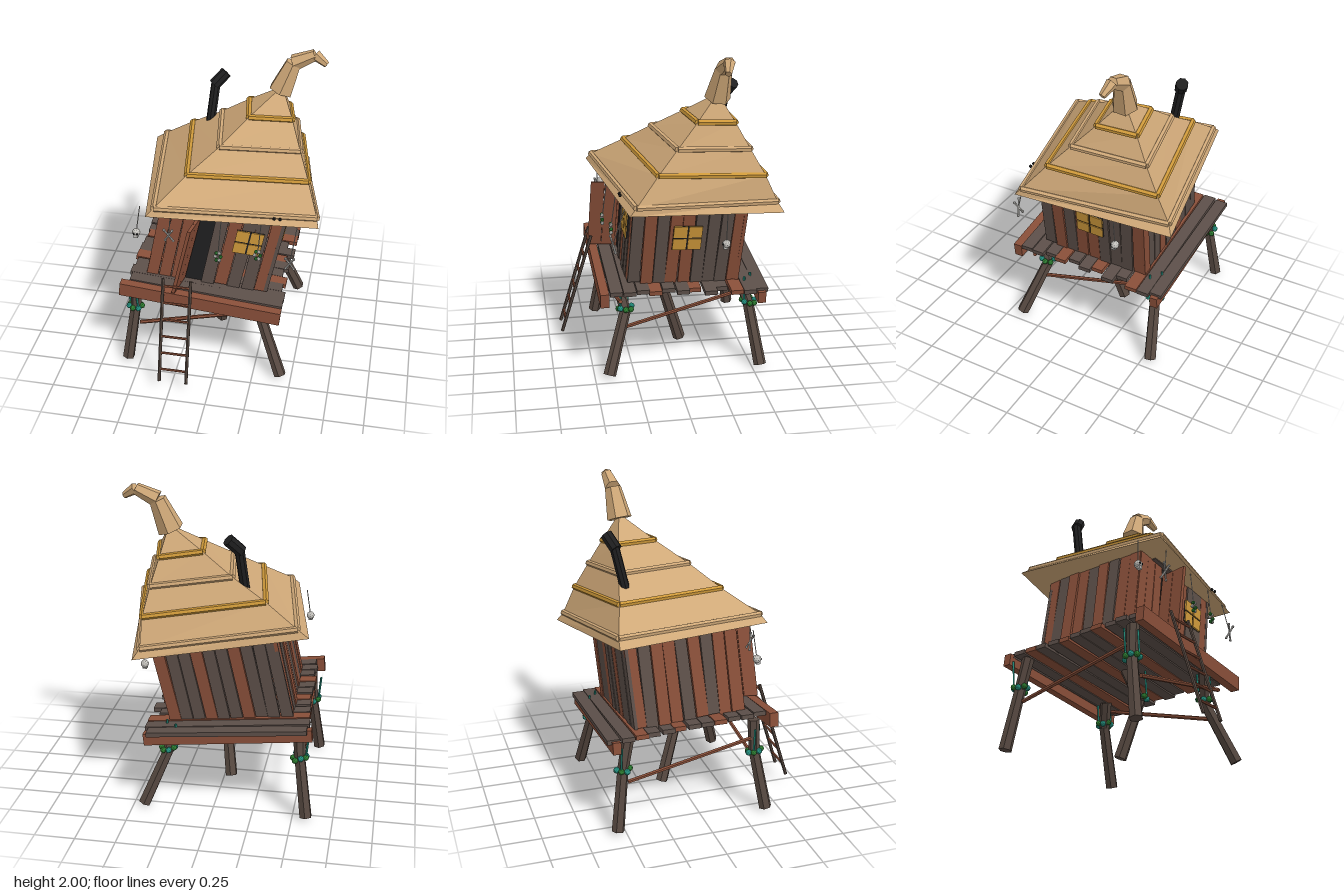
import * as THREE from 'three';

const V = (p) => new THREE.Vector3(...p);

export function createModel() {
  const root = new THREE.Group();
  root.name = 'stiltHut';
  const mat = (name, color) => {
    const m = new THREE.MeshStandardMaterial({ color });
    m.name = name;
    return m;
  };
  const straw = mat('straw', 0xcfa878), gold = mat('gold', 0xcd983a), brick = mat('redWood', 0x894f39);
  const dark = mat('darkWood', 0x5c4f49), leg = mat('legWood', 0x574941), black = mat('soot', 0x1f1f20);
  const teal = mat('tealCord', 0x23907f), green = mat('greenBead', 0x2c7a30), bone = mat('bone', 0xc4c2bd);

  let seed = 7;
  const rnd = () => (seed = (seed * 16807) % 2147483647) / 2147483647;
  const jit = (a) => (rnd() * 2 - 1) * a;

  // Faceted mesh, added to a parent
  const add = (name, geo, m, parent) => {
    const g = geo.index ? geo.toNonIndexed() : geo;
    g.computeVertexNormals();
    const mesh = new THREE.Mesh(g, m);
    mesh.name = name;
    parent.add(mesh);
    return mesh;
  };
  const group = (name) => {
    const g = new THREE.Group();
    g.name = name;
    root.add(g);
    return g;
  };
  // Round pole from a to b
  const pole = (name, a, b, r0, r1, m, parent, sides = 6) => {
    const A = V(a), B = V(b), d = B.clone().sub(A);
    const p = add(name, new THREE.CylinderGeometry(r1, r0, d.length(), sides), m, parent);
    p.quaternion.setFromUnitVectors(V([0, 1, 0]), d.normalize());
    p.position.copy(A).lerp(B, 0.5);
  };
  // Square beam from a to b
  const beam = (name, a, b, w, h, m, parent) => {
    const A = V(a), B = V(b);
    const p = add(name, new THREE.BoxGeometry(w, h, A.distanceTo(B)), m, parent);
    p.position.copy(A).lerp(B, 0.5);
    p.lookAt(B);
  };
  const ball = (name, p, r, m, parent) => {
    add(name, new THREE.IcosahedronGeometry(r, 1), m, parent).position.set(...p);
  };

  // Roof: leaning square rings from eave to apex (back left, back right, front right, front left)
  const rings = [
    [[-0.57, 1.18, -0.51], [0.45, 1.04, -0.67], [0.615, 1.12, 0.295], [-0.41, 1.19, 0.46]],
    [[-0.5, 1.23, -0.5], [0.41, 1.10, -0.635], [0.6, 1.165, 0.255], [-0.365, 1.235, 0.43]],
    [[-0.305, 1.365, -0.44], [0.41, 1.27, -0.555], [0.525, 1.33, 0.115], [-0.2, 1.37, 0.235]],
    [[-0.1, 1.49, -0.39], [0.38, 1.43, -0.465], [0.455, 1.465, -0.01], [-0.03, 1.495, 0.08]],
    [[0.085, 1.62, -0.34], [0.34, 1.585, -0.38], [0.385, 1.605, -0.14], [0.12, 1.62, -0.095]],
    Array(4).fill([0.3, 1.76, -0.275]),
  ];
  const tri = [];
  for (let i = 0; i < 5; i++) for (let k = 0; k < 4; k++) {
    const n = (k + 1) % 4, lo = rings[i], hi = rings[i + 1];
    tri.push(lo[n], lo[k], hi[k]);
    if (i < 4) tri.push(lo[n], hi[k], hi[n]);
  }
  const e = rings[0];
  tri.push(e[0], e[1], e[2], e[0], e[2], e[3]);
  const roofGeo = new THREE.BufferGeometry();
  roofGeo.setAttribute('position', new THREE.Float32BufferAttribute(tri.flat(), 3));
  const roof = group('roof');
  add('thatch', roofGeo, straw, roof);
  for (let i = 1; i < 5; i++) for (let k = 0; k < 4; k++)
    pole('roofBand', rings[i][k], rings[i][(k + 1) % 4], 0.019, 0.019, i % 2 ? straw : gold, roof);

  // Curled straw tip
  const curl = [[0.29, 1.73, -0.275, 0.08], [0.362, 1.915, -0.295, 0.052], [0.49, 1.975, -0.3, 0.036], [0.565, 1.925, -0.28, 0.02]];
  for (let i = 0; i < 3; i++)
    pole('roofTip', curl[i].slice(0, 3), curl[i + 1].slice(0, 3), curl[i][3], curl[i + 1][3], straw, roof);

  // Bent chimney
  pole('chimneyPipe', [-0.185, 1.3, -0.345], [-0.145, 1.68, -0.425], 0.03, 0.03, black, roof, 8);
  pole('chimneyTop', [-0.155, 1.66, -0.415], [-0.085, 1.735, -0.455], 0.038, 0.038, black, roof, 8);

  // Leaning house: unit box sheared into place
  const house = group('house');
  const lean = new THREE.Matrix4().makeBasis(V([0.77, -0.077, -0.02]), V([0.12, 0.585, -0.035]), V([0.02, 0.036, 0.71]));
  lean.setPosition(-0.085, 0.603, -0.063);
  // side: 0 front, 1 right, 2 back, 3 left; s along the wall, v up, out from the wall
  const panel = (name, side, s, v, w, h, t, out, m, tilt = 0) => {
    const g = new THREE.BoxGeometry(w, h, t).rotateZ(tilt).translate(s, v, 0.5 + out);
    g.rotateY(side * Math.PI / 2).applyMatrix4(lean);
    add(name, g, m, house);
  };
  const wall = (side, from, to, colors) => {
    const w = (to - from) / colors.length;
    [...colors].forEach((c, i) => {
      const low = jit(0.025) - 0.01;
      panel('wallPlank', side, from + (i + 0.5) * w, (1 + low) / 2, w * 0.94, 1 - low, 0.03,
        -0.015 + jit(0.007), c === 'b' ? brick : dark, jit(0.012));
    });
  };
  wall(0, -0.5, -0.2, 'bbb');
  wall(0, -0.05, 0.5, 'dbddb');
  wall(1, -0.5, 0.5, 'dbdbbdddb');
  wall(2, -0.5, 0.5, 'bddbddbddd');
  wall(3, -0.5, 0.5, 'bdbbdbdbb');

  // Doorway, lintel and windows
  panel('doorway', 0, -0.125, 0.47, 0.16, 0.94, 0.012, -0.02, black);
  panel('doorLintel', 0, -0.195, 0.92, 0.31, 0.06, 0.05, 0.015, dark);
  for (const [side, s, v, w, h] of [[0, 0.25, 0.585, 0.22, 0.27], [1, -0.01, 0.545, 0.25, 0.27]]) {
    panel('windowCross', side, s, v, w, h, 0.012, 0.008, black);
    for (const i of [-1, 1]) for (const j of [-1, 1])
      panel('windowPane', side, s + i * w * 0.265, v + j * h * 0.265, w * 0.47, h * 0.47, 0.012, 0.016, gold);
  }

  // Open door, two planks swung outward
  for (const a of [0.25, 0.75]) {
    const g = new THREE.BoxGeometry(0.022, 0.46, 0.088).rotateY(-0.17);
    g.applyMatrix4(new THREE.Matrix4().set(1, 0.23, 0, -0.17 - 0.03 * a, 0, 1, 0, 0.875, 0, -0.05, 1, 0.285 + 0.178 * a, 0, 0, 0, 1));
    add('doorPlank', g, brick, house);
  }

  // Deck planks and beams, sloping down to the right
  const deck = group('deck');
  const deckY = (x, z) => 0.597 - 0.1 * x + 0.045 * z;
  const tones = 'ddbddbddbddd';
  for (let i = 0; i < 12; i++) {
    const z = -0.56 + i * 0.084, x0 = -0.585 + i * 0.003 + jit(0.012), x1 = 0.4 + jit(0.03), skew = jit(0.007);
    beam('deckPlank', [x0, deckY(x0, z) - 0.015, z - skew], [x1, deckY(x1, z) - 0.015, z + skew],
      0.079, 0.028, tones[i] === 'b' ? brick : dark, deck);
  }
  beam('frontBeam', [-0.6, 0.625, 0.445], [0.42, 0.515, 0.43], 0.055, 0.09, brick, deck);
  beam('backBeam', [-0.61, 0.585, -0.55], [0.42, 0.475, -0.555], 0.05, 0.075, brick, deck);

  // Kinked legs with beads and cords
  const legs = group('legs');
  const stilts = [
    [[-0.52, 0.61, 0.34], [-0.535, 0.4, 0.345], [-0.585, 0.02, 0.41]],
    [[0.22, 0.56, 0.33], [0.28, 0.38, 0.29], [0.43, 0.02, 0.41]],
    [[0.23, 0.53, -0.45], [0.28, 0.38, -0.5], [0.43, 0.02, -0.55]],
    [[-0.52, 0.6, -0.46], [-0.535, 0.4, -0.5], [-0.585, 0.02, -0.55]],
    [[-0.05, 0.58, -0.07], [0, 0.38, 0], [-0.05, 0.02, -0.11]],
  ];
  for (const [top, knee, foot] of stilts) {
    pole('upperLeg', top, knee, 0.037, 0.034, leg, legs);
    pole('lowerLeg', foot, knee, 0.04, 0.035, leg, legs);
    for (let i = 0; i < 7; i++) {
      const a = i * Math.PI / 3.5, p = [knee[0] + 0.042 * Math.cos(a), 0.4 + jit(0.014), knee[2] + 0.042 * Math.sin(a)];
      ball('legBead', p, 0.019, i % 2 ? teal : green, legs);
      if (i % 3 === 1) pole('legCord', p, [p[0] - 0.015, 0.57, p[2]], 0.007, 0.007, teal, legs, 4);
    }
  }
  for (const [a, b] of [
    [[-0.5, 0.3, 0.38], [0.38, 0.49, 0.33]],
    [[0.31, 0.28, 0.32], [0.3, 0.5, -0.5]],
    [[-0.54, 0.5, 0.35], [-0.54, 0.32, -0.47]],
  ]) pole('crossBrace', a, b, 0.013, 0.013, brick, legs);

  // Ladder leaning on the front beam
  const ladder = group('ladder');
  for (const x of [-0.315, -0.14]) pole('ladderRail', [x, 0.075, 0.665], [x, 0.74, 0.46], 0.011, 0.011, leg, ladder);
  for (let i = 0; i < 6; i++) {
    const y = 0.155 + i * 0.108, z = 0.665 - (y - 0.075) * 0.308;
    pole('ladderRung', [-0.315, y, z], [-0.14, y, z], 0.008, 0.008, brick, ladder);
  }

  // Charms hanging from the eaves
  const charms = group('charms');
  const hang = (p, top) => pole('charmString', p, top, 0.003, 0.003, bone, charms, 4);
  for (const [p, top] of [
    [[-0.5, 1.0, 0.36], [-0.475, 1.18, 0.34]],
    [[0.465, 0.865, -0.31], [0.49, 1.07, -0.31]],
  ]) {
    hang(p, top);
    ball('skull', p, 0.026, bone, charms);
    add('skullJaw', new THREE.BoxGeometry(0.026, 0.02, 0.026), bone, charms).position.set(p[0], p[1] - 0.022, p[2] + 0.006);
    for (const s of [-1, 1]) ball('skullEye', [p[0] + s * 0.01, p[1], p[2] + 0.021], 0.007, black, charms);
  }
  for (const [p, top] of [
    [[-0.285, 1.03, 0.4], [-0.27, 1.18, 0.4]],
    [[0.46, 0.9, 0.38], [0.49, 1.13, 0.31]],
  ]) {
    hang(p, top);
    const [x, y, z] = p;
    for (const s of [-1, 1]) {
      const a = [x - 0.025 * s, y - 0.045, z - 0.012], b = [x + 0.025 * s, y + 0.045, z + 0.012];
      pole('crossedBone', a, b, 0.006, 0.006, bone, charms);
      ball('boneEnd', a, 0.009, bone, charms);
      ball('boneEnd', b, 0.009, bone, charms);
    }
  }
  for (const [x, y, z] of [[0.02, 0.91, 0.4], [0.26, 0.93, 0.37]]) {
    hang([x, y, z], [x + 0.015, 1.15, z - 0.03]);
    for (let i = 0; i < 6; i++)
      ball('charmBead', [x + 0.017 * Math.cos(i * 1.05), y + 0.03 * Math.sin(i * 1.05), z], 0.012, i % 2 ? bone : green, charms);
  }
  for (const x of [0.35, 0.385]) ball('eaveStud', [x, 1.18, 0.325], 0.01, black, charms);

  return root;
}
